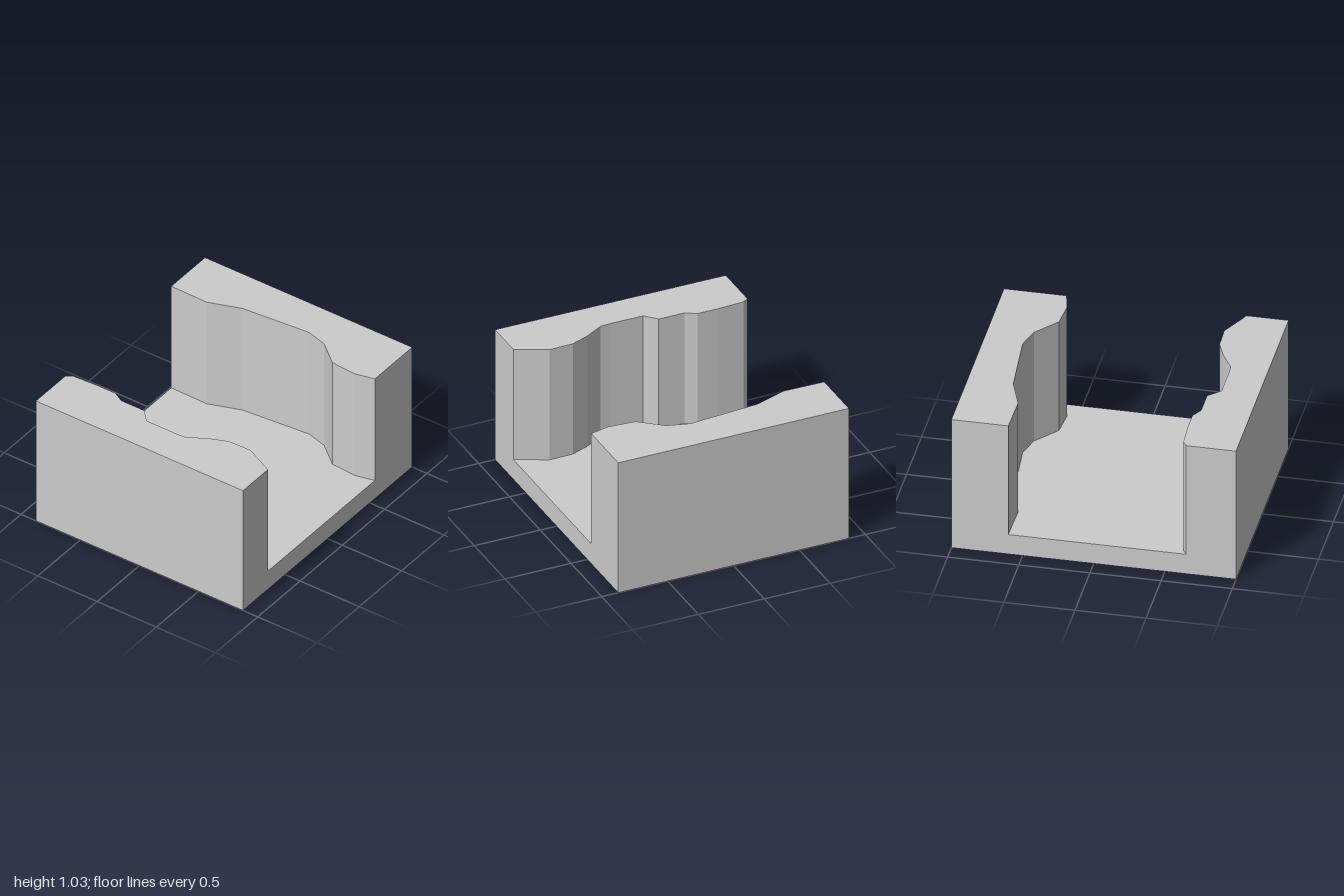
import * as THREE from 'three';

const HALF_DEPTH = 0.875;
const HEIGHT = 1.035;
const FLOOR = 0.157;

// Inner edges of the two banks as [x, z], from back to front
const RIGHT_EDGE = [
  [-0.65, -0.875], [-0.62, -0.83], [-0.61, -0.63], [-0.61, -0.48], [-0.655, -0.4],
  [-0.655, -0.205], [-0.74, -0.125], [-0.74, 0.125], [-0.735, 0.2], [-0.655, 0.335],
  [-0.6, 0.47], [-0.595, 0.65], [-0.705, 0.875],
];
const LEFT_EDGE = [
  [0.6, -0.875], [0.595, -0.57], [0.68, -0.33], [0.725, 0.2],
  [0.68, 0.36], [0.54, 0.53], [0.525, 0.73], [0.56, 0.875],
];

// Upright bank between the outer side and an irregular inner edge
function makeBank(name, edge, outerX, material) {
  const outline = [[outerX, -HALF_DEPTH], ...edge, [outerX, HALF_DEPTH]];
  const shape = new THREE.Shape(outline.map(([x, z]) => new THREE.Vector2(x, -z)));
  const geometry = new THREE.ExtrudeGeometry(shape, { depth: HEIGHT - FLOOR, bevelEnabled: false });
  geometry.rotateX(-Math.PI / 2);
  geometry.translate(0, FLOOR, 0);
  const bank = new THREE.Mesh(geometry, material);
  bank.name = name;
  return bank;
}

export function createModel() {
  const model = new THREE.Group();
  model.name = 'canyonBlock';
  const stone = new THREE.MeshStandardMaterial({ color: 0xcccccc });
  stone.name = 'light grey stone';

  // Floor slab
  const floor = new THREE.Mesh(new THREE.BoxGeometry(2, FLOOR, HALF_DEPTH * 2), stone);
  floor.position.y = FLOOR / 2;
  floor.name = 'floor';

  // Banks on both sides of the channel
  model.add(
    floor,
    makeBank('rightBank', RIGHT_EDGE, -1, stone),
    makeBank('leftBank', LEFT_EDGE, 1, stone),
  );
  return model;
}
